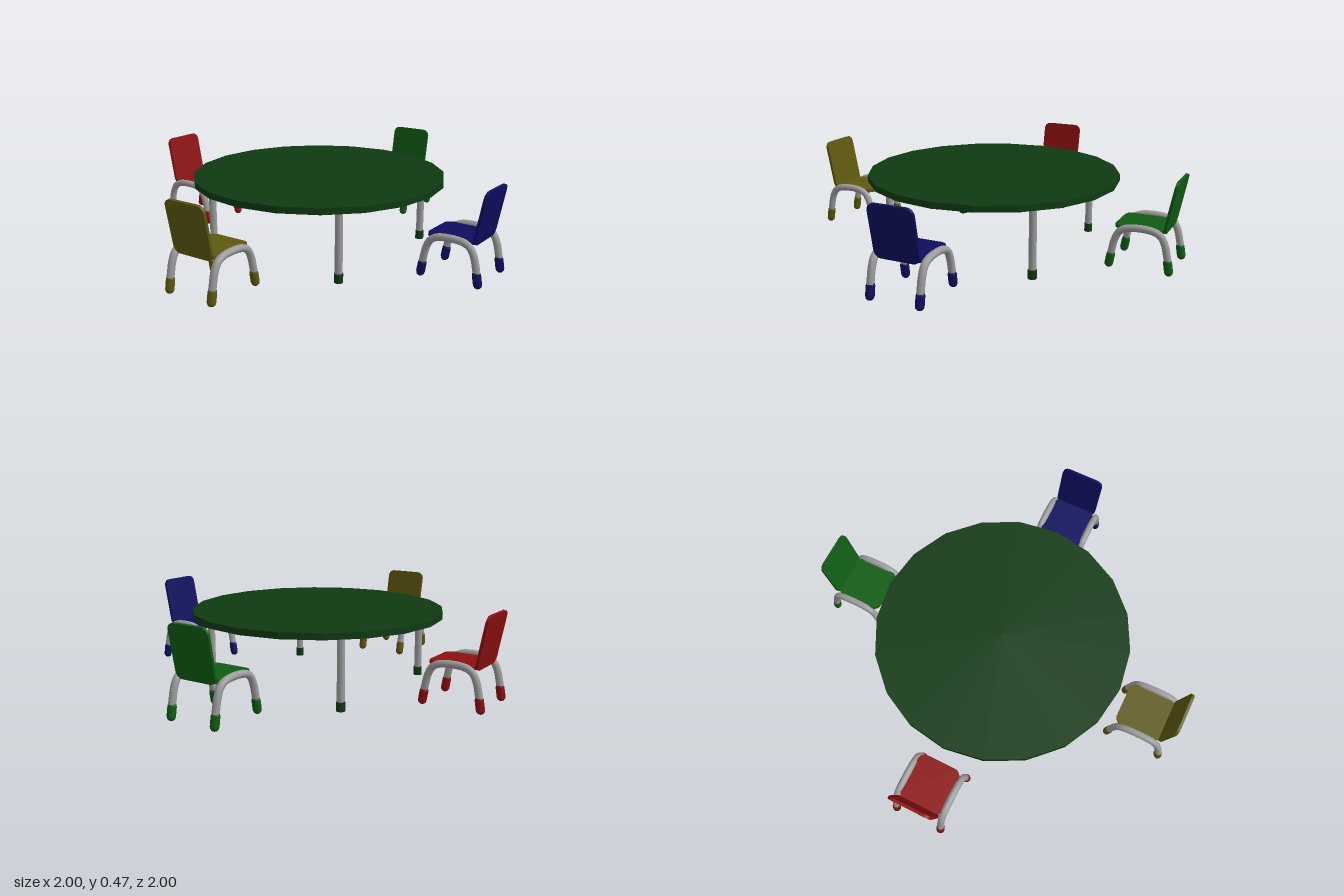
import * as THREE from 'three';

const mat = (name, color, flatShading = false) => {
  const m = new THREE.MeshStandardMaterial({ color, flatShading });
  m.name = name;
  return m;
};

function add(parent, name, geometry, material, x = 0, y = 0, z = 0) {
  const mesh = new THREE.Mesh(geometry, material);
  mesh.name = name;
  mesh.position.set(x, y, z);
  parent.add(mesh);
  return mesh;
}

// Thin plate with rounded corners, lying in XY and centred in depth
function plate(w, h, r, t) {
  const a = w / 2, b = h / 2;
  const s = new THREE.Shape();
  s.moveTo(-a + r, -b);
  s.lineTo(a - r, -b);
  s.absarc(a - r, -b + r, r, -Math.PI / 2, 0);
  s.absarc(a - r, b - r, r, 0, Math.PI / 2);
  s.absarc(-a + r, b - r, r, Math.PI / 2, Math.PI);
  s.absarc(-a + r, -b + r, r, Math.PI, Math.PI * 1.5);
  const g = new THREE.ExtrudeGeometry(s, { depth: t, bevelEnabled: false, curveSegments: 5 });
  return g.translate(0, 0, -t / 2);
}

// Chair standing at the +z side of the table, its back away from the table
function makeChair(name, color, steel) {
  const chair = new THREE.Group();
  chair.name = name;

  const seat = add(chair, 'seat', plate(0.232, 0.25, 0.04, 0.016), color, 0, 0.222, 0.822);
  seat.rotation.x = -Math.PI / 2;

  const back = add(chair, 'backrest', plate(0.23, 0.265, 0.035, 0.014), color, 0, 0.34, 0.966);
  back.rotation.x = Math.atan2(0.05, 0.26);

  // Bent side tube: front leg, seat rail and rear leg
  const half = [[0.149, 0.04], [0.135, 0.11], [0.122, 0.165], [0.1, 0.206], [0.06, 0.226]];
  const points = [...half.map(([z, y]) => [-z, y]), ...half.reverse()]
    .map(([z, y]) => new THREE.Vector3(0, y, 0.832 + z));
  const tube = new THREE.TubeGeometry(new THREE.CatmullRomCurve3(points), 30, 0.018, 10);
  const cap = new THREE.CapsuleGeometry(0.021, 0.047, 3, 10);

  for (const side of [-1, 1]) {
    add(chair, 'sideTube', tube, steel, side * 0.127, 0, 0);
    for (const end of [-1, 1]) {
      const foot = add(chair, 'footCap', cap, color, side * 0.127, 0.06, 0.832 + end * 0.143);
      foot.rotation.x = -end * 0.17;
    }
  }
  return chair;
}

export function createModel() {
  const model = new THREE.Group();
  model.name = 'tableAndChairs';
  const tableGreen = mat('tableGreen', 0x0f3a12, true);
  const footGreen = mat('footGreen', 0x0f3a12);
  const steel = mat('steel', 0x9c9c9c);

  // Round table
  const table = new THREE.Group();
  table.name = 'table';
  model.add(table);
  add(table, 'tableTop', new THREE.CylinderGeometry(0.655, 0.655, 0.032, 20), tableGreen, 0, 0.38, 0);
  const leg = new THREE.CylinderGeometry(0.019, 0.019, 0.33, 12);
  const foot = new THREE.CylinderGeometry(0.022, 0.022, 0.046, 12);
  for (const x of [-0.395, 0.395]) {
    for (const z of [-0.395, 0.395]) {
      add(table, 'tableLeg', leg, steel, x, 0.2, z);
      add(table, 'tableFoot', foot, footGreen, x, 0.023, z);
    }
  }

  // Four chairs, one per colour, around the table
  const chairs = [
    ['yellowChair', mat('yellow', 0x5e580f)],
    ['blueChair', mat('blue', 0x0e0e60)],
    ['greenChair', mat('green', 0x115c14)],
    ['redChair', mat('red', 0x8c1010)],
  ];
  chairs.forEach(([name, color], i) => {
    const chair = makeChair(name, color, steel);
    chair.rotation.y = i * Math.PI / 2;
    model.add(chair);
  });
  return model;
}
